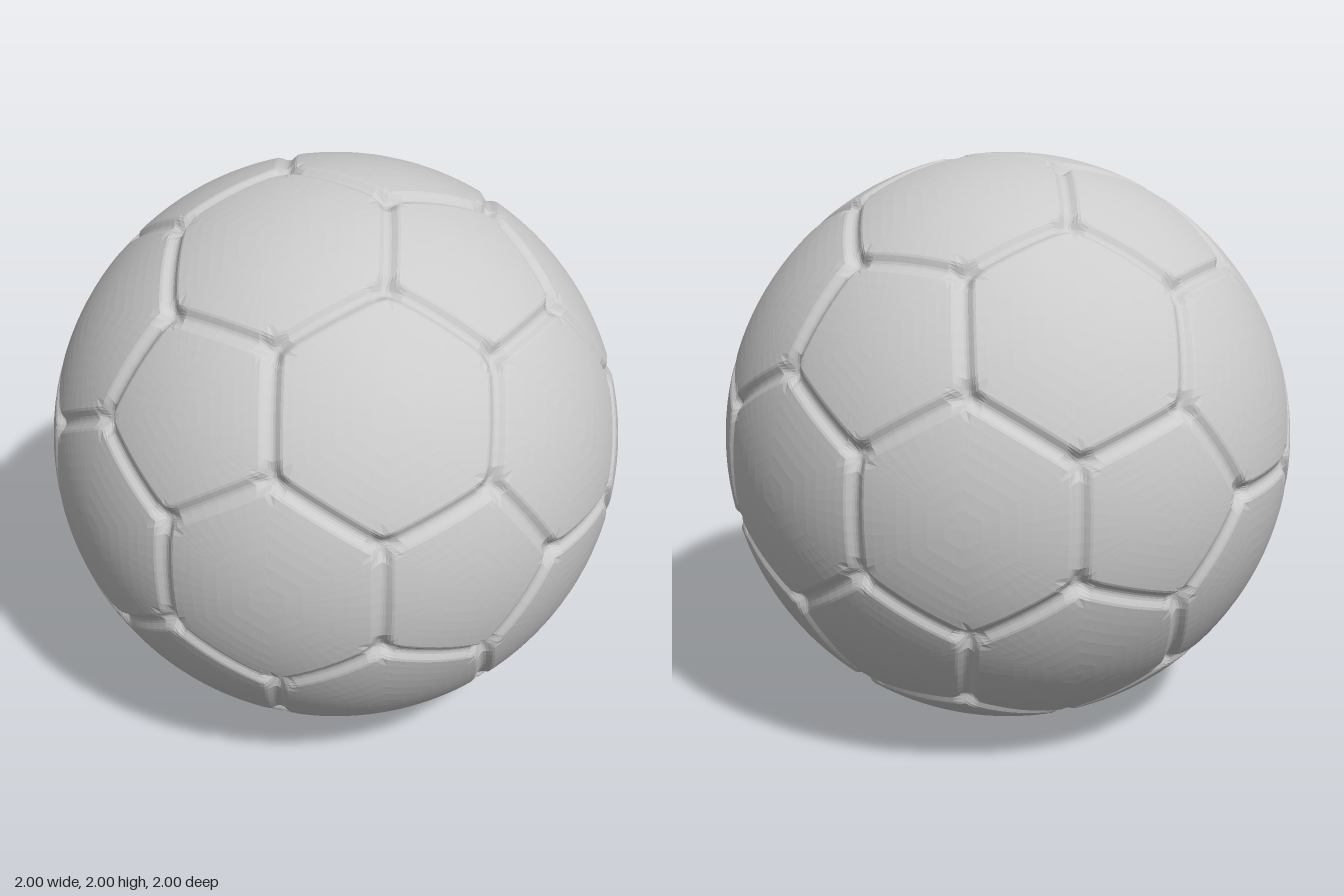
import * as THREE from 'three';

const PHI = (1 + Math.sqrt(5)) / 2;

// All sign changes and cyclic orders of a triple, as unit directions
function directions(triple) {
  const found = new Map();
  for (let shift = 0; shift < 3; shift++) {
    for (let signs = 0; signs < 8; signs++) {
      const c = triple.map((value, i) => (signs & (1 << i) ? -value : value) + 0);
      const p = new THREE.Vector3(c[shift], c[(shift + 1) % 3], c[(shift + 2) % 3]).normalize();
      found.set(p.toArray().map((n) => Math.round(n * 1000)).join(), p);
    }
  }
  return [...found.values()];
}

// Corners where three panels meet, and the middles of the panels
const corners = [[0, 1, 3 * PHI], [1, 2 + PHI, 2 * PHI], [PHI, 2, PHI ** 3]].flatMap(directions);
const pentagonCentres = directions([0, 1, PHI]);
const hexagonCentres = [[1, 1, 1], [0, PHI, 1 / PHI]].flatMap(directions);

// Corners of one panel, counter-clockwise seen from outside
function panelCorners(centre, sides) {
  const nearest = [...corners].sort((a, b) => b.dot(centre) - a.dot(centre)).slice(0, sides);
  const u = nearest[0].clone().projectOnPlane(centre).normalize();
  const v = centre.clone().cross(u);
  const angle = (p) => Math.atan2(p.dot(v), p.dot(u));
  return nearest.sort((a, b) => angle(a) - angle(b));
}

// Bevelled seam groove, with a small pit where three seams meet
function surfaceRadius(seamDistance, cornerDistance) {
  const groove = 0.017 * (1 - THREE.MathUtils.smoothstep(seamDistance, 0.004, 0.04));
  const pit = 0.018 * (1 - THREE.MathUtils.smoothstep(cornerDistance, 0.01, 0.06));
  return 1 - groove - pit;
}

// Domed panel: rings around its centre, packed closely towards the seam
function panelGeometry(centre, sides) {
  const outline = panelCorners(centre, sides);
  const segments = 10;
  const count = sides * segments;
  const middle = outline.reduce((sum, p) => sum.add(p), new THREE.Vector3()).divideScalar(sides);
  const inradius = outline[0].clone().add(outline[1]).multiplyScalar(0.5).distanceTo(middle);
  const insets = [0.85, 0.7, 0.56, 0.43, 0.31, 0.2].map((f) => f * inradius);
  insets.push(0.04, 0.031, 0.022, 0.013, 0.004, 0);

  const positions = [...centre.toArray()];
  const indices = [];
  insets.forEach((inset, ring) => {
    const spread = 1 - inset / inradius;
    for (let i = 0; i < count; i++) {
      const side = Math.floor(i / segments);
      // Points gather towards the corners to shape the pits
      const f = (i % segments) / segments;
      const along = 0.5 - 0.5 * Math.cos(Math.PI * f);
      const p = outline[side].clone().lerp(outline[(side + 1) % sides], THREE.MathUtils.lerp(f, along, 0.6));
      p.sub(middle).multiplyScalar(spread).add(middle).normalize();
      const cornerDistance = Math.min(...outline.map((c) => c.distanceTo(p)));
      p.multiplyScalar(surfaceRadius(inset, cornerDistance));
      positions.push(p.x, p.y, p.z);

      const next = (i + 1) % count;
      const a = 1 + ring * count + i;
      const b = 1 + ring * count + next;
      if (ring === 0) indices.push(0, a, b);
      else indices.push(a - count, a, b, a - count, b, b - count);
    }
  });

  const geometry = new THREE.BufferGeometry();
  geometry.setAttribute('position', new THREE.Float32BufferAttribute(positions, 3));
  geometry.setIndex(indices);
  geometry.computeVertexNormals();
  return geometry;
}

export function createModel() {
  const ball = new THREE.Group();
  ball.name = 'ball';
  const material = new THREE.MeshStandardMaterial({ color: 0xcccccc, flatShading: true });

  const addPanels = (name, centres, sides) => {
    const panels = new THREE.Group();
    panels.name = name + 's';
    centres.forEach((centre, i) => {
      const panel = new THREE.Mesh(panelGeometry(centre, sides), material);
      panel.name = name + (i + 1);
      panels.add(panel);
    });
    ball.add(panels);
  };

  addPanels('pentagonPanel', pentagonCentres, 5);
  addPanels('hexagonPanel', hexagonCentres, 6);

  // Rest the ball on the ground
  ball.position.y = 1;
  const model = new THREE.Group();
  model.name = 'football';
  model.add(ball);
  return model;
}
